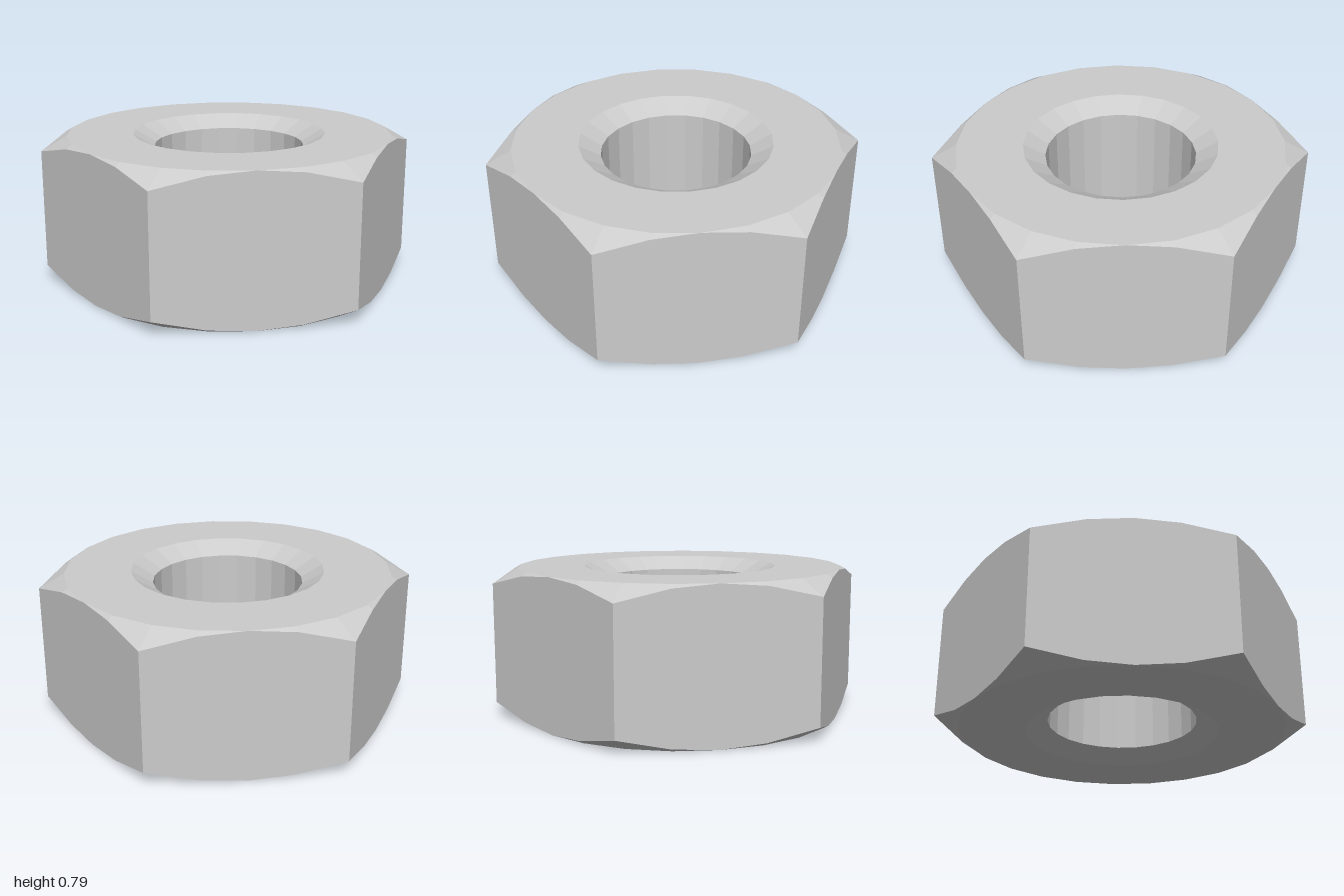
import * as THREE from 'three';

const HEIGHT = 0.79;
const APOTHEM = Math.sqrt(3) / 2; // centre to flat, corners at radius 1
const BORE = 0.4;
const SINK = 0.515; // countersink rim radius
const SLOPE = Math.tan(Math.PI / 6); // bevel slope
const SEGMENTS = 24;

// Distance from the axis to the hexagon's side at an angle, corners on the x axis
function hexRadius(angle) {
  const sector = Math.PI / 3;
  const offset = angle - Math.round(angle / sector) * sector;
  return APOTHEM / Math.cos(offset);
}

export function createModel() {
  const group = new THREE.Group();
  group.name = 'hexNut';

  // Closed cross-section: countersink, bottom, bevel, flat side, bevel, top, bore
  const depth = (SINK - BORE) * SLOPE;
  const profile = [
    [BORE, depth], [SINK, 0], [APOTHEM, 0], [1, 0],
    [1, HEIGHT], [APOTHEM, HEIGHT], [SINK, HEIGHT], [BORE, HEIGHT - depth], [BORE, depth],
  ].map(([r, y]) => new THREE.Vector2(r, y));
  const lathe = new THREE.LatheGeometry(profile, SEGMENTS);

  // Push the outer rim out to the hexagon and let the bevel cone cut its edge
  const pos = lathe.attributes.position;
  for (let i = 0; i < pos.count; i++) {
    const ring = i % profile.length;
    if (ring !== 3 && ring !== 4) continue;
    const angle = Math.atan2(pos.getX(i), pos.getZ(i));
    const r = hexRadius(angle);
    const drop = (r - APOTHEM) * SLOPE;
    pos.setXYZ(i, r * Math.sin(angle), ring === 3 ? drop : HEIGHT - drop, r * Math.cos(angle));
  }

  // Faceted normals
  const geometry = lathe.toNonIndexed();
  geometry.computeVertexNormals();

  const nut = new THREE.Mesh(
    geometry,
    new THREE.MeshStandardMaterial({ color: 0xcccccc, flatShading: true })
  );
  nut.name = 'nutBody';
  group.add(nut);
  return group;
}
